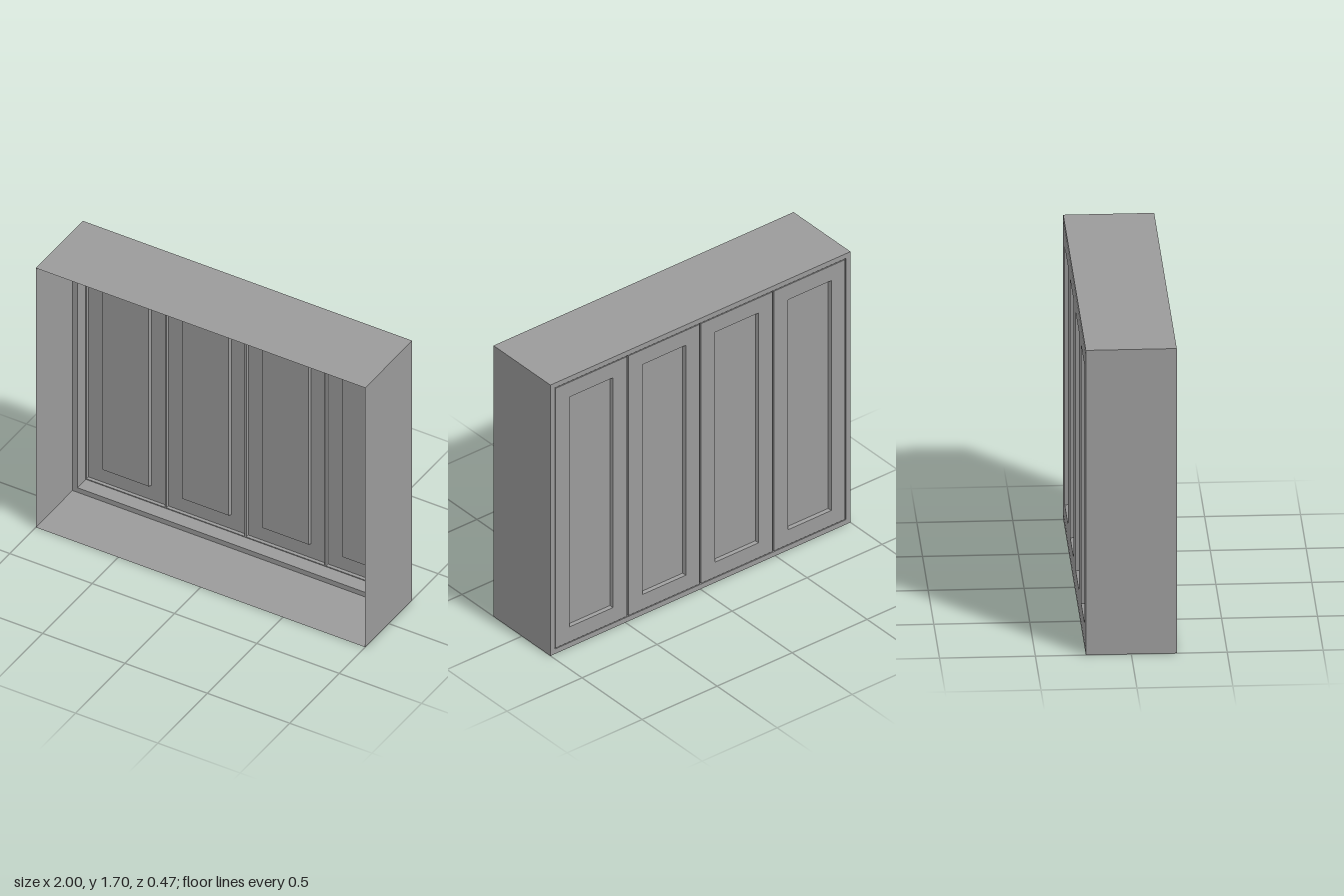
import * as THREE from 'three';

const H = 1.695, FRONT = 0.237, BACK = -0.237, RECESS = -0.217, FRAME_FRONT = -0.133;
const material = new THREE.MeshStandardMaterial({ color: 0x9b9b9b, side: THREE.DoubleSide, flatShading: true });

// Rectangle as [left, bottom, right, top]
const inset = ([l, b, r, t], d) => [l + d, b + d, r - d, t - d];
const corners = ([l, b, r, t], z) => [[l, b, z], [r, b, z], [r, t, z], [l, t, z]];

function quads(name, list) {
  const points = list.flatMap(([a, b, c, d]) => [a, b, c, a, c, d]).flat();
  const geometry = new THREE.BufferGeometry();
  geometry.setAttribute('position', new THREE.Float32BufferAttribute(points, 3));
  geometry.computeVertexNormals();
  const mesh = new THREE.Mesh(geometry, material);
  mesh.name = name;
  return mesh;
}

// Four-sided band from one rectangle to another, wound to face outward or backward
function band(name, rectA, zA, rectB, zB) {
  const a = corners(rectA, zA), b = corners(rectB, zB);
  return quads(name, a.map((p, i) => [p, b[i], b[(i + 1) % 4], a[(i + 1) % 4]]));
}

// Flat rectangle facing the back
const panel = (name, rect, z) => quads(name, [corners(rect, z).reverse()]);

export function createModel() {
  const model = new THREE.Group();
  model.name = 'cabinet';

  const outer = [-1, 0, 1, H];
  const opening = inset(outer, 0.03);
  const doorArea = inset(outer, 0.035);

  // Open case and the deep face frame around the doors
  model.add(
    band('caseWalls', outer, FRONT, outer, BACK),
    band('faceFrame', outer, BACK, opening, BACK),
    band('frameInnerFace', opening, FRAME_FRONT, outer, FRAME_FRONT),
    band('frameReveal', opening, BACK, opening, FRAME_FRONT),
    band('perimeterGroove', opening, RECESS, doorArea, RECESS)
  );

  // Four doors, each with a sunken centre panel
  const gap = 0.01;
  const width = (doorArea[2] - doorArea[0] - 3 * gap) / 4;
  for (let i = 0; i < 4; i++) {
    const left = doorArea[0] + i * (width + gap);
    const right = left + width;
    const door = [left, doorArea[1], right, doorArea[3]];
    const rim = inset(door, 0.093);
    const centre = inset(rim, 0.005);
    const group = new THREE.Group();
    group.name = `door${i + 1}`;
    group.add(
      band('doorEdges', door, RECESS, door, BACK),
      band('doorFrame', door, BACK, rim, BACK),
      band('panelReveal', rim, BACK, centre, RECESS),
      panel('sunkenPanel', centre, RECESS)
    );
    model.add(group);

    // Groove between neighbouring doors
    if (i < 3) model.add(panel('doorGroove', [right, door[1], right + gap, door[3]], RECESS));
  }
  return model;
}
